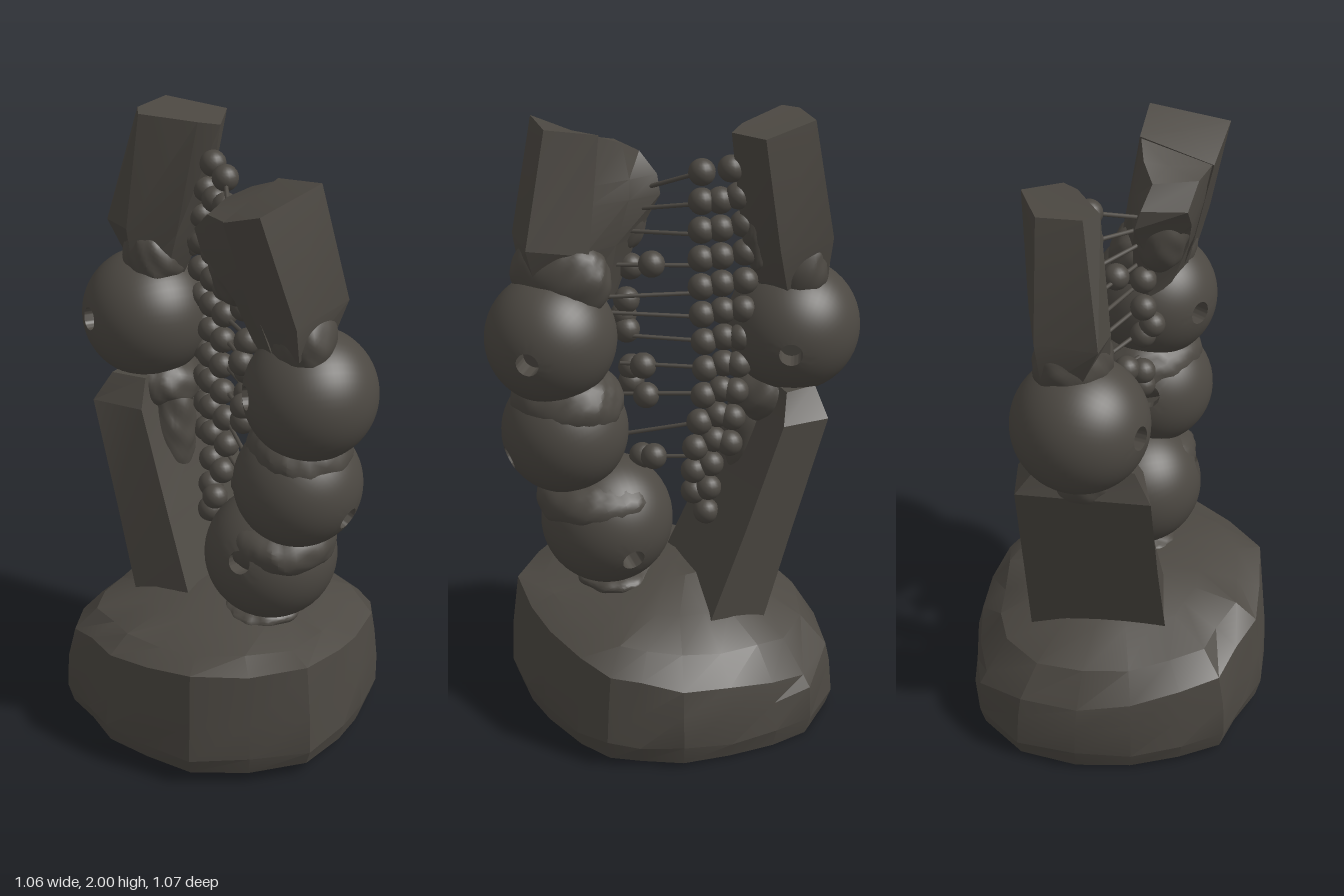
import * as THREE from 'three';
import { mergeVertices, toCreasedNormals } from 'three/addons/utils/BufferGeometryUtils.js';

const stone = new THREE.MeshStandardMaterial({ color: 0x4c4842 });
stone.name = 'dark stone';
const V = (a) => new THREE.Vector3(...a);

export function createModel() {
  const root = new THREE.Group();
  root.name = 'stoneSculpture';

  const add = (name, geometry, parent = root) => {
    const mesh = new THREE.Mesh(geometry, stone);
    mesh.name = name;
    parent.add(mesh);
    return mesh;
  };
  const group = (name) => {
    const g = new THREE.Group();
    g.name = name;
    root.add(g);
    return g;
  };

  // Skin rings of equal point count (bottom to top) and close both ends
  const loft = (rings, crease = 0.35) => {
    const n = rings[0].length, pos = rings.flat(2), index = [];
    const cap = (ring) => {
      const c = [0, 1, 2].map((k) => ring.reduce((s, p) => s + p[k], 0) / n);
      pos.push(...c);
      return pos.length / 3 - 1;
    };
    const low = cap(rings[0]), high = cap(rings[rings.length - 1]);
    const top = (rings.length - 1) * n;
    for (let i = 0; i < n; i++) {
      const j = (i + 1) % n;
      for (let r = 0; r < top; r += n) index.push(r + i, r + n + i, r + j, r + j, r + n + i, r + n + j);
      index.push(low, i, j, high, top + j, top + i);
    }
    const g = new THREE.BufferGeometry();
    g.setAttribute('position', new THREE.Float32BufferAttribute(pos, 3));
    g.setIndex(index);
    return toCreasedNormals(g, crease);
  };

  // Smooth repeatable noise used for broken surfaces
  const noise = (x, y, z) =>
    Math.sin(x * 23 + y * 11) * Math.cos(z * 19 - y * 7) * 0.5 +
    Math.sin(x * 47 - z * 31 + 1.3) * Math.sin(y * 53 + z * 17) * 0.35 +
    Math.sin(x * 90 + y * 71 + z * 83) * 0.2;

  // Broken rough lump of stone
  const rock = (name, at, size, amount) => {
    let g = new THREE.IcosahedronGeometry(1, 9);
    g.deleteAttribute('normal');
    g.deleteAttribute('uv');
    g = mergeVertices(g, 1e-4);
    const p = g.attributes.position, v = new THREE.Vector3();
    for (let i = 0; i < p.count; i++) {
      v.fromBufferAttribute(p, i);
      const w = v.clone().multiply(V(size)).add(V(at));
      v.multiplyScalar(1 + amount * noise(w.x, w.y, w.z)).multiply(V(size)).add(V(at));
      p.setXYZ(i, v.x, v.y, v.z);
    }
    return add(name, toCreasedNormals(g, 0.5));
  };

  // Base boulder: one outline scaled through several heights
  const outline = [
    [0.53, 0], [0.5, 0.12], [0.415, 0.28], [0.335, 0.385], [0.2, 0.505], [0, 0.53], [-0.19, 0.495],
    [-0.32, 0.38], [-0.43, 0.26], [-0.475, 0.12], [-0.53, 0], [-0.48, -0.14], [-0.4, -0.29],
    [-0.275, -0.425], [-0.1, -0.525], [0.1, -0.525], [0.22, -0.455], [0.34, -0.35], [0.45, -0.23], [0.5, -0.1],
  ];
  const levels = [[0.02, 0.965, 0.02], [0.08, 1, 0.02], [0.2, 0.985, 0.03], [0.315, 0.95, 0.09],
    [0.38, 0.8, 0.05], [0.43, 0.53, 0.02], [0.475, 0.2, 0]];
  add('base', loft(levels.map(([y, s, tilt], k) => outline.map(([x, z], i) => {
    const wob = k > 0 && k < 5 ? 0.008 * Math.sin(i * 2.4 + k * 1.9) : 0;
    const f = s + (k > 1 ? wob : 0);
    return [x * f, y + tilt * z / 0.5 + wob, z * f];
  }))));

  // Leaning rear slab, with broken top and inner face
  const level = (y, pts) => pts.map(([x, z]) => [x, y, z]);
  add('rearSlab', loft([
    level(0.36, [[0.2, -0.2], [-0.11, 0.12], [-0.28, -0.035], [0.05, -0.335]]),
    level(0.7, [[0.115, -0.295], [-0.18, -0.01], [-0.335, -0.125], [-0.015, -0.41]]),
    level(1.05, [[0.03, -0.385], [-0.25, -0.115], [-0.395, -0.21], [-0.085, -0.49]]),
    level(1.14, [[-0.03, -0.37], [-0.23, -0.16], [-0.33, -0.22], [-0.12, -0.43]]),
  ]));
  rock('rearSlabBrokenTop', [-0.16, 1.08, -0.27], [0.13, 0.1, 0.13], 0.08);
  rock('rearSlabBrokenFace', [-0.14, 0.92, -0.2], [0.08, 0.2, 0.08], 0.1);

  // Balls with a bored socket at each end of an axis
  const ball = (name, at, r, hole) => {
    const bore = 0.037, a = Math.acos(bore / r), floor = 0.68 * r;
    const pts = [new THREE.Vector2(0, -floor), new THREE.Vector2(bore, -floor)];
    for (let i = 0; i <= 36; i++) {
      const t = -a + (2 * a * i) / 36;
      pts.push(new THREE.Vector2(r * Math.cos(t), r * Math.sin(t)));
    }
    pts.push(new THREE.Vector2(bore, floor), new THREE.Vector2(0, floor));
    const m = add(name, toCreasedNormals(new THREE.LatheGeometry(pts, 48), 0.6));
    m.position.set(...at);
    m.quaternion.setFromUnitVectors(new THREE.Vector3(0, 1, 0), V(hole).normalize());
  };
  ball('rearBall', [-0.2, 1.3, -0.322], 0.212, [0.2, -0.02, -0.07]);
  ball('frontTopBall', [0.213, 1.305, 0.325], 0.207, [0.2, -0.01, -0.02]);
  ball('frontMiddleBall', [0.185, 0.983, 0.297], 0.202, [0.13, -0.065, 0.13]);
  ball('frontLowerBall', [0.124, 0.665, 0.183], 0.213, [0.13, -0.065, -0.155]);

  // Rough stone joining the balls
  rock('middleNeck', [0.19, 1.09, 0.285], [0.165, 0.13, 0.182], 0.05);
  rock('lowerNeck', [0.145, 0.75, 0.205], [0.183, 0.11, 0.203], 0.05);
  rock('lowerBallFoot', [0.1, 0.45, 0.16], [0.13, 0.045, 0.13], 0.1);
  rock('frontTopNeck', [0.185, 1.5, 0.3], [0.105, 0.14, 0.165], 0.06);
  rock('rearTopNeck', [-0.17, 1.51, -0.32], [0.105, 0.13, 0.125], 0.08);

  // Upper front block with its broken inner side
  add('frontUpperBlock', loft([
    level(1.48, [[0.27, 0.34], [0.15, 0.46], [0.07, 0.33], [0.16, 0.22]]),
    [[0.318, 1.62, 0.35], [0.135, 1.6, 0.49], [0.03, 1.58, 0.33], [0.21, 1.59, 0.19]],
    [[0.235, 1.98, 0.32], [0.028, 1.95, 0.47], [-0.055, 1.88, 0.328], [0.13, 1.95, 0.19]],
  ]));
  add('frontBrokenSide', loft([
    level(1.42, [[0.2, 0.25], [0.1, 0.36], [0.07, 0.27], [0.06, 0.17], [0.13, 0.17]]),
    level(1.6, [[0.21, 0.2], [0.04, 0.35], [-0.01, 0.27], [0.01, 0.12], [0.11, 0.145]]),
    level(1.74, [[0.18, 0.2], [0, 0.35], [-0.1, 0.2], [-0.01, 0.05], [0.08, 0.115]]),
    level(1.8, [[0.17, 0.2], [-0.02, 0.34], [-0.115, 0.17], [-0.02, 0.065], [0.065, 0.12]]),
    [[0.13, 1.945, 0.195], [-0.05, 1.88, 0.325], [-0.085, 1.87, 0.24], [-0.01, 1.87, 0.12], [0.06, 1.91, 0.145]],
  ]));
  rock('frontBrokenFace', [0.01, 1.68, 0.18], [0.08, 0.14, 0.085], 0.1);

  // Upper rear block
  add('rearUpperBlock', loft([
    level(1.46, [[-0.07, -0.35], [-0.09, -0.25], [-0.15, -0.22], [-0.25, -0.25], [-0.25, -0.37], [-0.17, -0.44]]),
    level(1.62, [[0, -0.35], [-0.03, -0.215], [-0.12, -0.19], [-0.27, -0.26], [-0.32, -0.35], [-0.165, -0.462]]),
    [[0.06, 1.98, -0.32], [0.02, 1.975, -0.195], [-0.05, 1.985, -0.2], [-0.225, 2, -0.26], [-0.22, 2, -0.32], [-0.12, 2, -0.41]],
  ]));
  rock('rearBrokenFace', [-0.08, 1.68, -0.25], [0.07, 0.17, 0.05], 0.1);

  // Strands of beads hanging beside the rear column
  const beads = group('beads');
  const beadShape = new THREE.SphereGeometry(0.042, 18, 12);
  const bead = (p) => add('bead', beadShape, beads).position.copy(p);
  const strands = [
    [13, [0.02, 1.84, -0.1], [0.02, 1.45, -0.1], [0.01, 1.15, -0.11], [0.02, 0.9, -0.08], [-0.02, 0.74, -0.06]],
    [13, [-0.005, 1.75, -0.15], [-0.01, 1.5, -0.155], [-0.02, 1.2, -0.16], [-0.02, 0.9, -0.125], [-0.03, 0.67, -0.1]],
    [11, [-0.005, 1.855, -0.185], [-0.035, 1.7, -0.212], [-0.04, 1.5, -0.22], [-0.03, 1.25, -0.21], [-0.03, 0.93, -0.18]],
  ];
  for (const [count, ...path] of strands) {
    const curve = new THREE.CatmullRomCurve3(path.map(V));
    for (let i = 0; i < count; i++) bead(curve.getPointAt(i / (count - 1)));
  }
  // Beads beside the front column
  for (const p of [[0.07, 1.54, 0.045], [0.04, 1.51, 0.13], [0.05, 1.4, 0.14], [0.05, 1.3, 0.14], [0.03, 1.34, 0.16],
    [0.06, 1.19, 0.08], [0.04, 1.17, 0.13], [0.06, 1.09, 0.07], [0.04, 1.12, 0.13], [0.07, 0.885, 0.04],
    [0.05, 0.87, 0.09]]) bead(V(p));

  // Strings stretched between the two columns: front height, front x, front z, rear height
  const strings = group('strings');
  for (const [y0, x, z, y1] of [[1.74, 0, 0.14, 1.84], [1.69, 0.04, 0.16, 1.74], [1.63, 0.06, 0.16, 1.64],
    [1.53, 0.1, 0.17, 1.54], [1.43, 0.13, 0.19, 1.45], [1.37, 0.1, 0.17, 1.37], [1.29, 0.08, 0.16, 1.29],
    [1.195, 0.08, 0.15, 1.2], [1.09, 0.09, 0.17, 1.11], [0.95, 0.07, 0.13, 1.01], [0.87, 0.06, 0.09, 0.89]]) {
    const line = new THREE.LineCurve3(new THREE.Vector3(x, y0, z), new THREE.Vector3(0.02, y1, -0.1));
    add('string', new THREE.TubeGeometry(line, 1, 0.007, 8), strings);
  }

  return root;
}
